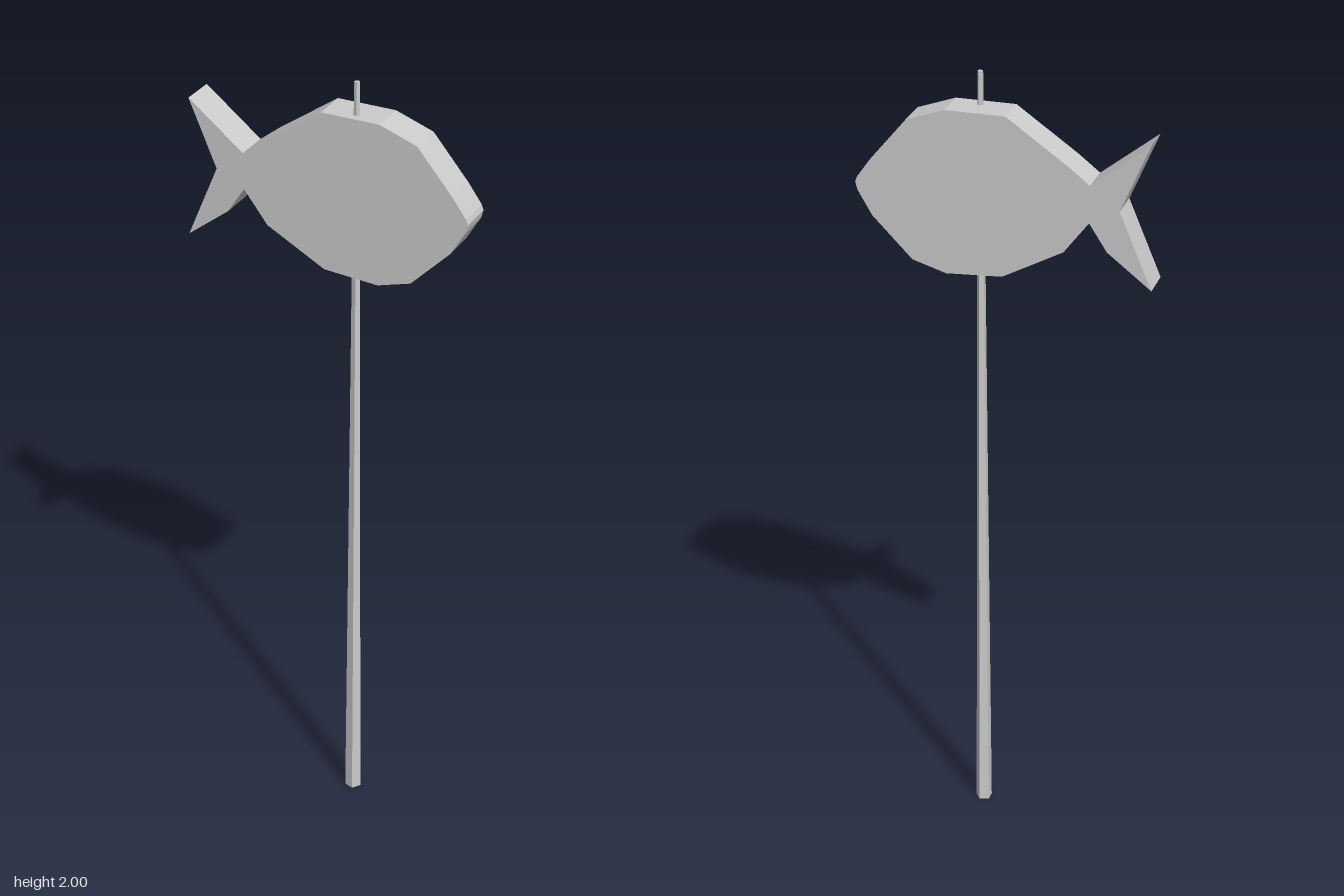
import * as THREE from 'three';

export function createModel() {
  const group = new THREE.Group();
  const material = new THREE.MeshStandardMaterial({ color: 0xcccccc, flatShading: true });

  // Flat fish cut-out: body and forked tail in one outline
  const outline = [
    [-0.347, 1.887], [-0.208, 1.777], [-0.155, 1.818], [-0.008, 1.92],
    [0.137, 1.92], [0.23, 1.887], [0.318, 1.782], [0.352, 1.735],
    [0.357, 1.722], [0.352, 1.702], [0.317, 1.642], [0.22, 1.543],
    [0.137, 1.518], [0, 1.527], [-0.147, 1.607], [-0.207, 1.686],
    [-0.25, 1.62], [-0.357, 1.537], [-0.278, 1.723],
  ];
  const shape = new THREE.Shape(outline.map(([x, y]) => new THREE.Vector2(x, y)));
  const depth = 0.086;
  const fishGeometry = new THREE.ExtrudeGeometry(shape, { depth, bevelEnabled: false });
  fishGeometry.translate(0, 0, -depth / 2);
  const fish = new THREE.Mesh(fishGeometry, material);
  fish.name = 'fish';
  group.add(fish);

  // Five-sided tapering stick, passing through the fish
  const stickGeometry = new THREE.CylinderGeometry(0.007, 0.021, 2, 5, 1, false, Math.PI / 2);
  const stick = new THREE.Mesh(stickGeometry, material);
  stick.name = 'stick';
  stick.position.set(0.07, 1, 0.018);
  group.add(stick);

  return group;
}
